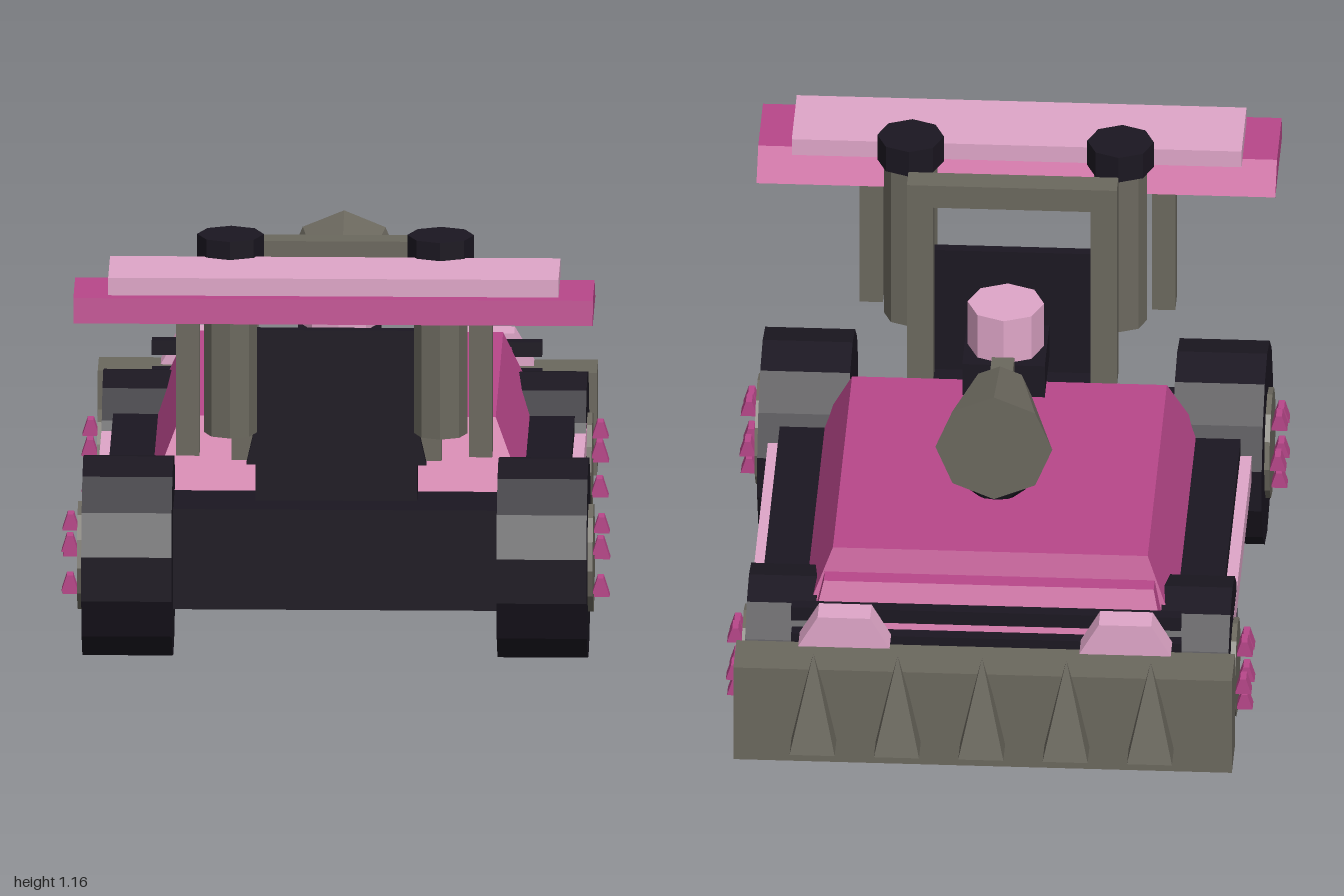
import * as THREE from 'three';

const mat = (color) => new THREE.MeshStandardMaterial({ color, flatShading: true });

export function createModel() {
  const model = new THREE.Group();
  const pink = mat(0xb8478a), light = mat(0xdfa6c8), grey = mat(0x6b685e), dark = mat(0x1b1721);

  const add = (name, geometry, material, x = 0, y = 0, z = 0, parent = model) => {
    const mesh = new THREE.Mesh(geometry, material);
    mesh.name = name;
    mesh.position.set(x, y, z);
    parent.add(mesh);
    return mesh;
  };

  // Box given by its limits on each axis
  const box = (name, material, [x0, x1], [y0, y1], [z0, z1]) =>
    add(name, new THREE.BoxGeometry(x1 - x0, y1 - y0, z1 - z0), material,
      (x0 + x1) / 2, (y0 + y1) / 2, (z0 + z1) / 2);

  // Four-cornered block whose top rectangle differs from its bottom one
  const taper = (name, material, [y0, y1], bottom, top) => {
    const g = new THREE.BoxGeometry(1, 1, 1);
    const p = g.attributes.position;
    for (let i = 0; i < p.count; i++) {
      const r = p.getY(i) > 0 ? top : bottom;
      p.setXYZ(i, p.getX(i) > 0 ? r[1] : r[0], p.getY(i) > 0 ? y1 : y0, p.getZ(i) > 0 ? r[3] : r[2]);
    }
    g.computeVertexNormals();
    return add(name, g, material);
  };

  // Chassis and side strips
  box('chassis', dark, [-0.615, 0.615], [0.135, 0.41], [-0.69, 0.68]);
  for (const s of [-1, 1]) {
    add('sideStrip', new THREE.BoxGeometry(0.035, 0.07, 0.9), light, s * 0.628, 0.335, -0.02);
  }

  // Bodywork
  taper('body', pink, [0.41, 0.59], [-0.495, 0.495, -0.62, 0.475], [-0.42, 0.42, -0.545, 0.375]);
  taper('hood', pink, [0.41, 0.53], [-0.47, 0.47, -0.685, -0.4], [-0.44, 0.44, -0.62, -0.4]);

  // Wheels: tyre, hub and five wedge-shaped nuts
  const wheel = (name, r, inner, outer, hubR, nutR, s, y, z) => {
    const group = new THREE.Group();
    group.name = name;
    group.position.set(s * (inner + outer) / 2, y, z);
    model.add(group);
    const disc = (rad, w, n) =>
      new THREE.CylinderGeometry(rad, rad, w, n).rotateZ(Math.PI / 2).rotateX(Math.PI / 2);
    const w = outer - inner;
    add('tyre', disc(r, w, 14), dark, 0, 0, 0, group);
    add('hub', disc(hubR, 0.06, 12), grey, s * (w / 2 - 0.016), 0, 0, group);
    const wedge = new THREE.Shape([[-0.022, -0.022], [0.022, -0.022], [0.008, 0.022], [-0.008, 0.022]]
      .map(([a, b]) => new THREE.Vector2(a, b)));
    const nut = new THREE.ExtrudeGeometry(wedge, { depth: 0.044, bevelEnabled: false }).translate(0, 0, -0.022);
    for (let i = 0; i < 5; i++) {
      const a = i * Math.PI * 2 / 5;
      add('wheelNut', nut, pink, s * (w / 2 + 0.034), Math.sin(a) * nutR, -Math.cos(a) * nutR, group);
    }
  };
  for (const s of [-1, 1]) {
    wheel('rearWheel', 0.272, 0.433, 0.673, 0.148, 0.092, s, 0.272, 0.638);
    wheel('frontWheel', 0.242, 0.46, 0.645, 0.132, 0.085, s, 0.245, -0.522);
  }

  // Roll frame, back panel and the block beneath them
  box('engineBlock', dark, [-0.215, 0.215], [0.41, 0.515], [0.41, 0.58]);
  const panel = new THREE.Shape([[-0.215, 0.42], [0.215, 0.42], [0.215, 0.51], [0.24, 0.51], [0.215, 0.62],
    [0.215, 0.88], [-0.215, 0.88], [-0.215, 0.62], [-0.24, 0.51], [-0.215, 0.51]]
    .map(([a, b]) => new THREE.Vector2(a, b)));
  add('backPanel', new THREE.ExtrudeGeometry(panel, { depth: 0.03, bevelEnabled: false }), dark, 0, 0, 0.558);
  box('frameBar', grey, [-0.28, 0.28], [1.05, 1.117], [0.487, 0.558]);

  for (const s of [-1, 1]) {
    add('framePost', new THREE.BoxGeometry(0.07, 0.54, 0.071), grey, s * 0.245, 0.785, 0.5225);
    // Exhaust stacks with caps
    add('exhaustStack', new THREE.CylinderGeometry(0.071, 0.071, 0.47, 8), grey, s * 0.28, 0.855, 0.67);
    add('exhaustCap', new THREE.CylinderGeometry(0.089, 0.089, 0.075, 8), dark, s * 0.28, 1.127, 0.67);
    add('spoilerPost', new THREE.BoxGeometry(0.062, 0.4, 0.09), grey, s * 0.39, 0.8, 0.805);
  }

  // Spoiler
  taper('spoiler', pink, [1.0, 1.067], [-0.692, 0.692, 0.68, 1.0], [-0.692, 0.692, 0.765, 0.99]);
  box('spoilerPad', light, [-0.6, 0.6], [1.067, 1.115], [0.72, 0.957]);

  // Turret and flared gun
  box('turretBase', dark, [-0.11, 0.11], [0.705, 0.8], [0.09, 0.31]);
  add('turretDrum', new THREE.CylinderGeometry(0.102, 0.102, 0.13, 8), light, 0, 0.865, 0.2);
  box('gunRod', grey, [-0.03, 0.03], [0.78, 0.838], [-0.08, 0.065]);
  add('gunHorn', new THREE.CylinderGeometry(0.082, 0.156, 0.297, 8).rotateX(Math.PI / 2), grey, 0, 0.81, -0.226);
  add('gunMount', new THREE.SphereGeometry(1, 8, 6).scale(0.09, 0.068, 0.028), dark, 0, 0.655, -0.26);

  // Grille bars and headlights
  for (const y of [0.42, 0.5]) {
    box('grilleBar', dark, [-0.52, 0.52], [y - 0.02, y + 0.02], [-0.75, -0.713]);
  }
  for (const x of [-0.375, 0.375]) {
    taper('headlight', light, [0.445, 0.535], [x - 0.122, x + 0.122, -0.827, -0.75],
      [x - 0.07, x + 0.07, -0.827, -0.75]);
  }

  // Ram with upright spikes
  box('ram', grey, [-0.665, 0.665], [0.142, 0.423], [-0.912, -0.765]);
  for (let i = -2; i <= 2; i++) {
    const spike = new THREE.ConeGeometry(0.085, 0.28, 4).rotateY(Math.PI / 4);
    add('ramSpike', spike, grey, i * 0.225, 0.35, -0.94);
  }
  return model;
}
